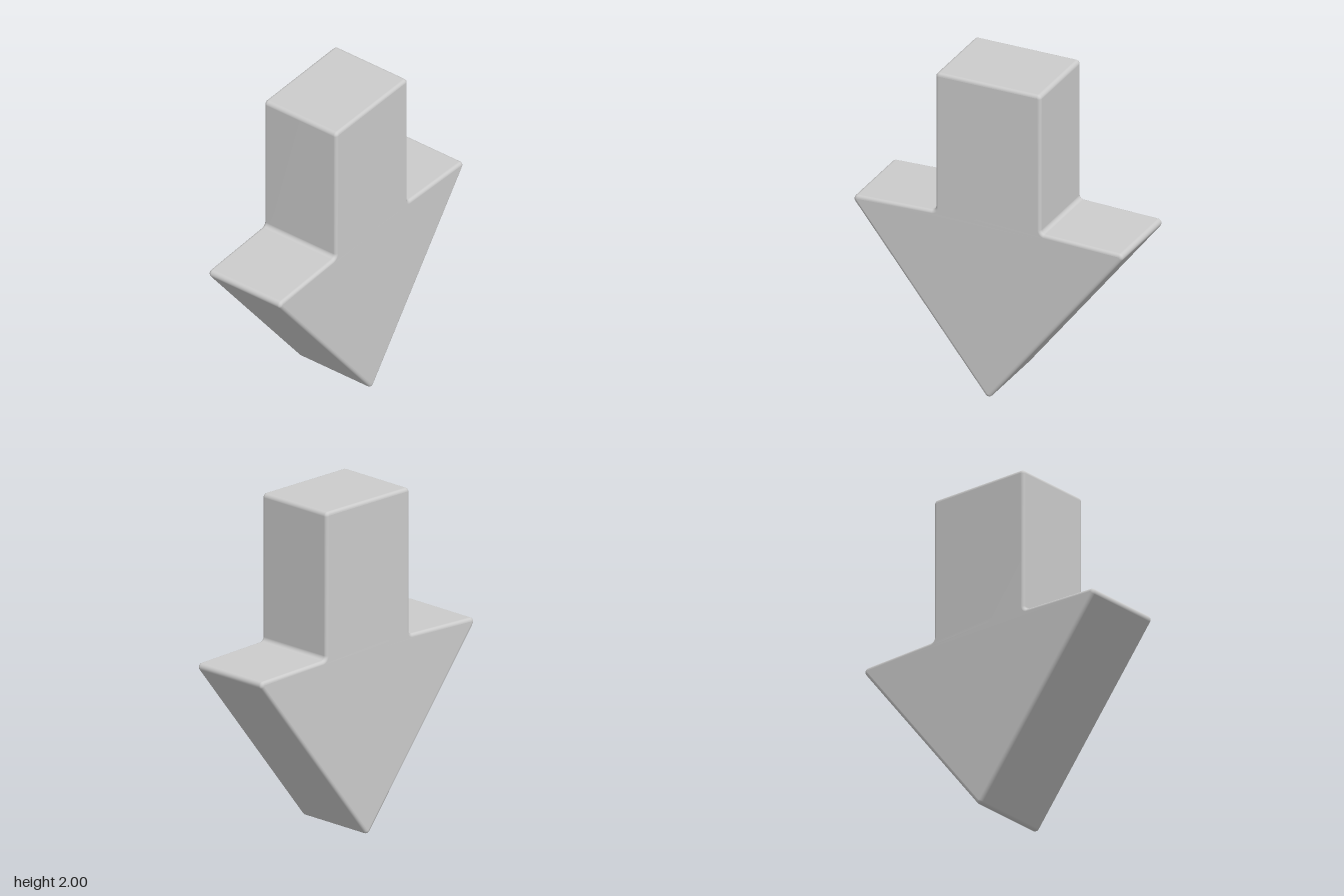
import * as THREE from 'three';
import { mergeVertices } from 'three/addons/utils/BufferGeometryUtils.js';

const BEVEL = 0.02, HALF_DEPTH = 0.26;

// Closed outline with every corner replaced by an arc of the given radius
function roundedOutline(corners, radius, steps) {
  const points = [];
  corners.forEach((corner, i) => {
    const before = corners[(i + corners.length - 1) % corners.length];
    const after = corners[(i + 1) % corners.length];
    const a = before.clone().sub(corner).normalize();
    const b = after.clone().sub(corner).normalize();
    const half = Math.acos(a.dot(b)) / 2;
    const centre = a.clone().add(b).normalize().multiplyScalar(radius / Math.sin(half)).add(corner);
    const start = a.multiplyScalar(radius / Math.tan(half)).add(corner).sub(centre);
    const turn = (Math.PI - 2 * half) * Math.sign(
      corner.clone().sub(before).cross(after.clone().sub(corner)));
    for (let k = 0; k <= steps; k++) {
      points.push(start.clone().rotateAround(new THREE.Vector2(), turn * k / steps).add(centre));
    }
  });
  return new THREE.Shape(points);
}

export function createModel() {
  const group = new THREE.Group();
  group.name = 'downArrow';

  // Right half of the arrow, from tip to shaft top, then mirrored
  const half = [[0.88, 1.1], [0.335, 1.117], [0.335, 2]];
  const corners = [
    [0, -0.016],
    ...half,
    ...half.map(([x, y]) => [-x, y]).reverse(),
  ].map(([x, y]) => new THREE.Vector2(x, y));

  // Thick body with softly rounded edges
  let geometry = new THREE.ExtrudeGeometry(roundedOutline(corners, 0.025, 8), {
    depth: 2 * (HALF_DEPTH - BEVEL),
    bevelThickness: BEVEL,
    bevelSize: BEVEL,
    bevelOffset: -BEVEL,
    bevelSegments: 5,
  });
  geometry.translate(0, 0, BEVEL - HALF_DEPTH);

  // Weld so that normals run smoothly over the rounded edges
  geometry.deleteAttribute('uv');
  geometry.deleteAttribute('normal');
  geometry = mergeVertices(geometry, 1e-5);
  geometry.computeVertexNormals();

  const body = new THREE.Mesh(geometry, new THREE.MeshStandardMaterial({ color: 0xcccccc }));
  body.name = 'arrowBody';
  group.add(body);
  return group;
}
